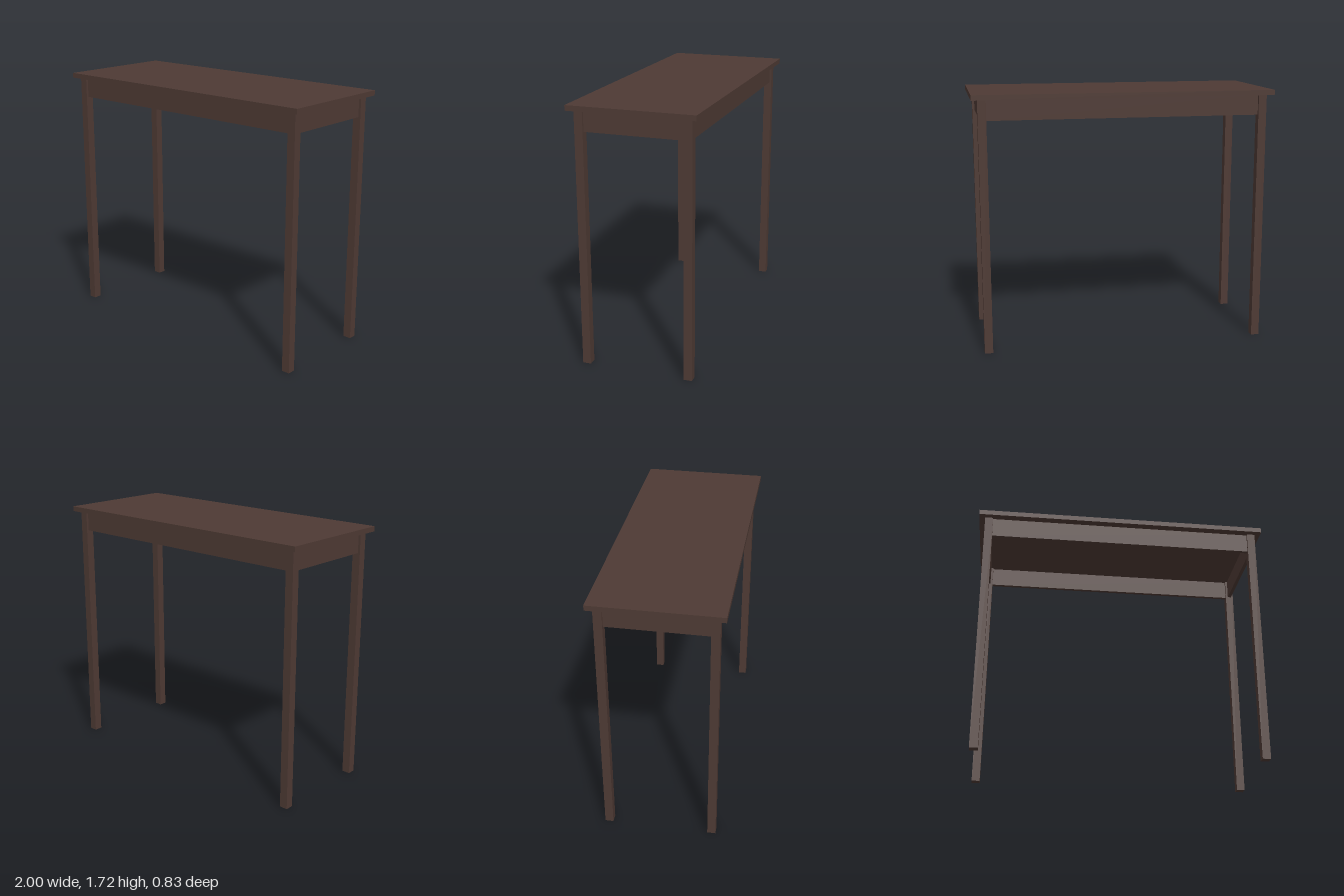
import * as THREE from 'three';

export function createModel() {
  const group = new THREE.Group();
  const darkWood = new THREE.MeshStandardMaterial({ color: 0x4e3a34 });
  darkWood.name = 'dark wood';

  const box = (name, w, h, d, x, y, z) => {
    const mesh = new THREE.Mesh(new THREE.BoxGeometry(w, h, d), darkWood);
    mesh.name = name;
    mesh.position.set(x, y, z);
    group.add(mesh);
  };

  const legSize = 0.055, legX = 0.932, legZ = 0.348;
  const underside = 1.688, topThickness = 0.034;
  const apronHeight = 0.135, apronThickness = 0.025;
  const apronY = underside - apronHeight / 2;

  // Overhanging tabletop
  box('tabletop', 2, topThickness, 0.828, 0, underside + topThickness / 2, 0);

  // Square legs at the four corners
  for (const sx of [-1, 1]) {
    for (const sz of [-1, 1]) {
      const name = (sz > 0 ? 'front' : 'back') + (sx > 0 ? 'Left' : 'Right') + 'Leg';
      box(name, legSize, underside, legSize, sx * legX, underside / 2, sz * legZ);
    }
  }

  // Apron rails between the legs, set back from their outer faces
  for (const s of [-1, 1]) {
    box(s > 0 ? 'frontApron' : 'backApron',
      2 * legX - legSize, apronHeight, apronThickness, 0, apronY, s * legZ);
    box(s > 0 ? 'leftApron' : 'rightApron',
      apronThickness, apronHeight, 2 * legZ - legSize, s * legX, apronY, 0);
  }

  return group;
}
